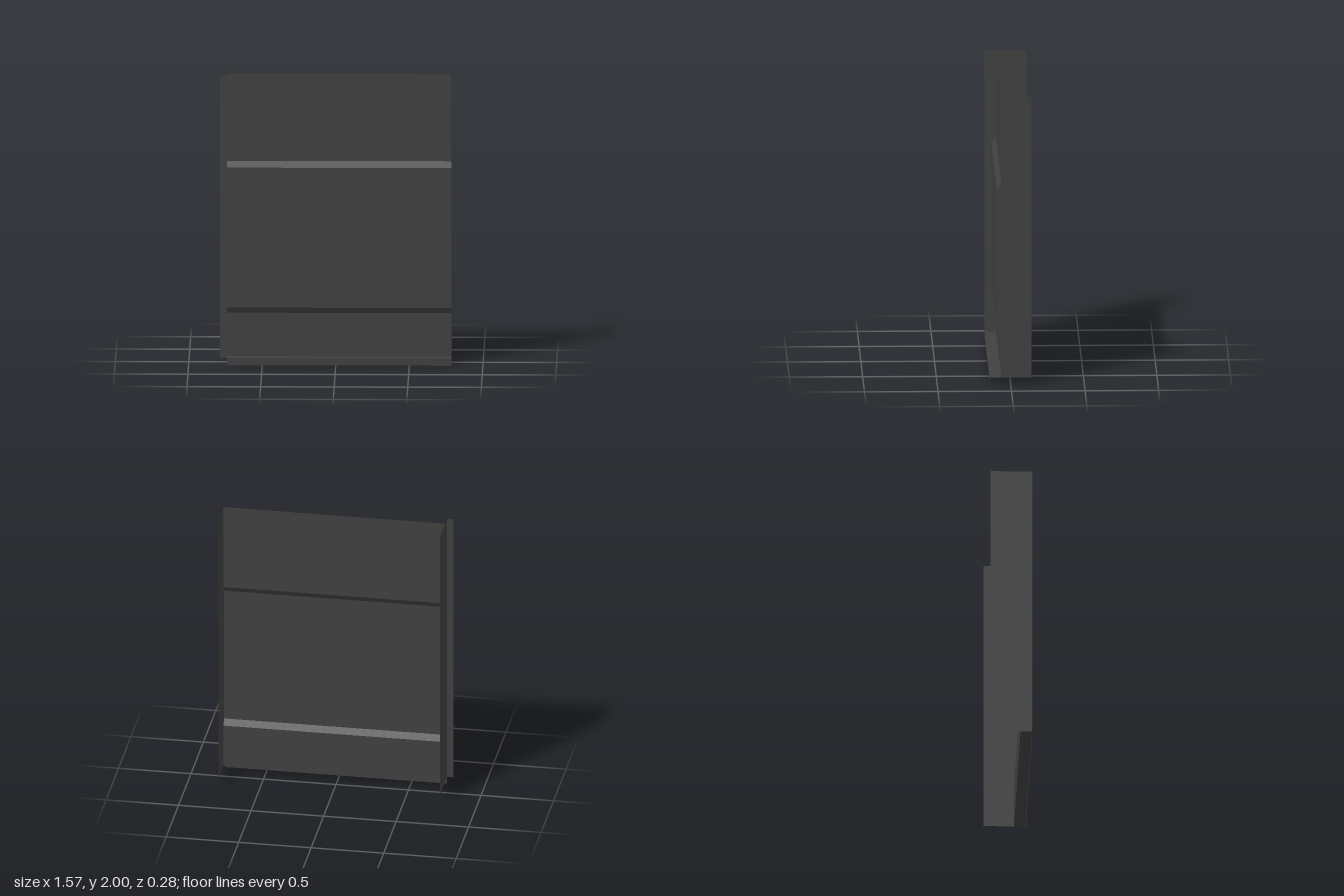
import * as THREE from 'three';

const X_RIGHT = 0.787, X_LEFT = -0.74, X_LIP = -0.787;
const Z_FRONT = 0.142, Z_BACK = -0.142, Z_PANEL = 0.064, Z_RAISED = 0.094;
const Y_SHELF = 0.05, Y_TOP = 2;

// Side profile of the folded sheet as [z, y], from bottom to top
const PROFILE = [
  [Z_PANEL, Y_SHELF], [Z_PANEL, 0.35], [Z_RAISED, 0.39],
  [Z_RAISED, 1.355], [Z_PANEL, 1.397], [Z_PANEL, Y_TOP],
];

const material = new THREE.MeshStandardMaterial({
  color: 0x404040, side: THREE.DoubleSide, flatShading: true,
});

// Sheet swept along x through a [z, y] profile, hard-edged at each fold
function foldedSheet(name, profile, x0, x1) {
  const pos = [];
  for (let i = 0; i < profile.length - 1; i++) {
    const [za, ya] = profile[i], [zb, yb] = profile[i + 1];
    pos.push(x0, ya, za, x1, ya, za, x1, yb, zb);
    pos.push(x0, ya, za, x1, yb, zb, x0, yb, zb);
  }
  const geometry = new THREE.BufferGeometry();
  geometry.setAttribute('position', new THREE.Float32BufferAttribute(pos, 3));
  geometry.computeVertexNormals();
  const mesh = new THREE.Mesh(geometry, material);
  mesh.name = name;
  return mesh;
}

// Flat side plate in the z-y plane, outlined by [z, y] points
function sidePlate(name, outline, x) {
  const shape = new THREE.Shape(outline.map(([z, y]) => new THREE.Vector2(-z, y)));
  const geometry = new THREE.ShapeGeometry(shape).rotateY(Math.PI / 2);
  const mesh = new THREE.Mesh(geometry, material);
  mesh.name = name;
  mesh.position.x = x;
  return mesh;
}

export function createModel() {
  const group = new THREE.Group();
  group.name = 'foldedPanel';

  // Main panel with its raised middle band
  group.add(foldedSheet('panel', PROFILE, X_LEFT, X_RIGHT));

  // Bottom lip: turned down at the front, with a shelf back to the panel
  group.add(foldedSheet('bottomLip',
    [[Z_FRONT, 0], [Z_FRONT, Y_SHELF], [Z_PANEL, Y_SHELF]], X_LEFT, X_RIGHT));

  // Flange that follows the panel profile
  group.add(sidePlate('leftFlange',
    [[Z_BACK, Y_SHELF], ...PROFILE, [Z_BACK, Y_TOP]], X_RIGHT));

  // Deeper flange on the other side, with an outward lip at its front edge
  group.add(sidePlate('rightFlange',
    [[Z_BACK, Y_SHELF], [Z_FRONT, Y_SHELF], [Z_FRONT, Y_TOP], [Z_BACK, Y_TOP]], X_LEFT));
  group.add(foldedSheet('rightLip',
    [[Z_FRONT, Y_SHELF], [Z_FRONT, Y_TOP]], X_LIP, X_LEFT));

  return group;
}
